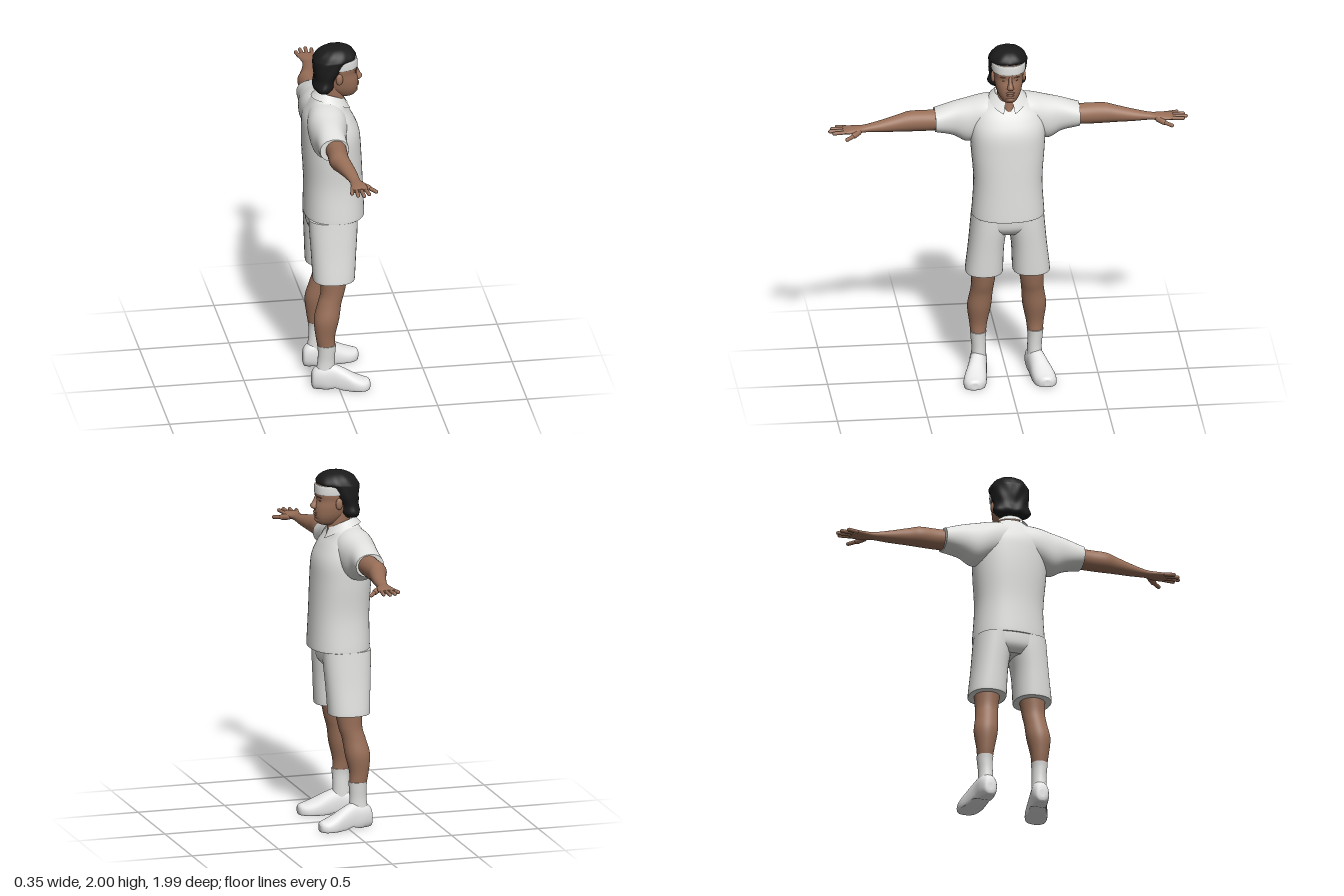
import * as THREE from 'three';

const mat = (name, color, side = THREE.FrontSide) => {
  const m = new THREE.MeshStandardMaterial({ color, side });
  m.name = name;
  return m;
};

// Catmull-Rom blend between cross-sections
const blend = (a, b, c, d, t) =>
  0.5 * (2 * b + (c - a) * t + (2 * a - 5 * b + 4 * c - d) * t * t + (3 * b - a - 3 * c + d) * t * t * t);

// Smooth closed skin through sections [t, centreA, centreB, radiusA, radiusB].
// axis 'y' -> A=x, B=z;  axis 'z' -> A=x, B=y;  axis 'x' -> A=z, B=y
function loft(axis, sections, { n = 32, steps = 5, p = 2, rule } = {}) {
  const rows = [], last = sections.length - 1;
  const at = (i) => sections[Math.min(last, Math.max(0, i))];
  for (let i = 0; i < last; i++)
    for (let s = 0; s < steps; s++)
      rows.push(at(i).map((_, k) => blend(at(i - 1)[k], at(i)[k], at(i + 1)[k], at(i + 2)[k], s / steps)));
  rows.push(at(last));
  const pos = [], idx = [];
  const place = (t, a, b) => {
    const v = axis === 'y' ? new THREE.Vector3(a, t, b)
      : axis === 'z' ? new THREE.Vector3(a, b, t) : new THREE.Vector3(t, b, a);
    if (rule) rule(v);
    pos.push(v.x, v.y, v.z);
  };
  const pw = (v) => Math.sign(v) * Math.abs(v) ** (2 / p);
  const ring = ([t, ca, cb, ra, rb]) => {
    for (let j = 0; j < n; j++) {
      const q = (j / n) * Math.PI * 2;
      place(t, ca + ra * pw(Math.cos(q)), cb + rb * pw(Math.sin(q)));
    }
  };
  rows.forEach(ring);
  for (let i = 0; i < rows.length - 1; i++)
    for (let j = 0; j < n; j++) {
      const a = i * n + j, b = i * n + (j + 1) % n;
      idx.push(a, a + n, b, b, a + n, b + n);
    }
  // end caps with their own vertices keep the rims crisp
  [rows[0], rows[rows.length - 1]].forEach((r, end) => {
    const base = pos.length / 3;
    ring(r);
    place(r[0], r[1], r[2]);
    for (let j = 0; j < n; j++) {
      const a = base + j, b = base + (j + 1) % n;
      idx.push(base + n, ...(end ? [b, a] : [a, b]));
    }
  });
  // turn the faces outward
  const P = (i) => new THREE.Vector3().fromArray(pos, idx[i] * 3);
  let vol = 0;
  for (let i = 0; i < idx.length; i += 3) vol += P(i).dot(P(i + 1).cross(P(i + 2)));
  if (vol < 0) idx.reverse();
  const g = new THREE.BufferGeometry();
  g.setAttribute('position', new THREE.Float32BufferAttribute(pos, 3));
  g.setIndex(idx);
  g.computeVertexNormals();
  return g;
}

// Shirt collar: sloping band, open at the front and dipping to two points
function collarGeometry() {
  const pos = [], idx = [], n = 40, m = 4, gap = 0.3;
  for (let i = 0; i <= n; i++) {
    const q = gap + (i / n) * (Math.PI * 2 - gap * 2), f = (1 + Math.cos(q)) / 2;
    for (let k = 0; k <= m; k++) {
      const v = k / m, r = 0.07 + 0.034 * v;
      pos.push(-0.015 + (r + 0.006) * Math.cos(q), 1.735 - 0.055 * f * f - v * (0.035 + 0.025 * f ** 4), r * Math.sin(q));
      if (i < n && k < m) {
        const a = i * (m + 1) + k, b = a + m + 1;
        idx.push(a, b, a + 1, b, b + 1, a + 1);
      }
    }
  }
  const g = new THREE.BufferGeometry();
  g.setAttribute('position', new THREE.Float32BufferAttribute(pos, 3));
  g.setIndex(idx);
  g.computeVertexNormals();
  return g;
}

export function createModel() {
  const root = new THREE.Group();
  root.name = 'tennisPlayer';
  const skin = mat('skin', 0x9a7059), cloth = mat('white cloth', 0xe0e0de),
    shoeWhite = mat('shoe white', 0xe6e6e6), hairBlack = mat('black hair', 0x1b1b1b),
    brown = mat('brow brown', 0x5e4436), collarCloth = mat('collar cloth', 0xe0e0de, THREE.DoubleSide);

  const add = (name, geo, material, parent = root) => {
    const mesh = new THREE.Mesh(geo, material);
    mesh.name = name;
    parent.add(mesh);
    return mesh;
  };
  const ball = (name, material, x, y, z, rx, ry, rz, parent) => {
    const b = add(name, new THREE.SphereGeometry(1, 20, 14), material, parent);
    b.position.set(x, y, z);
    b.scale.set(rx, ry, rz);
    return b;
  };
  const finger = (name, from, to, r, parent) => {
    const a = new THREE.Vector3(...from), d = new THREE.Vector3(...to).sub(a);
    const f = add(name, new THREE.CapsuleGeometry(r, d.length() - r, 5, 10), skin, parent);
    f.position.copy(a).addScaledVector(d, 0.5);
    f.quaternion.setFromUnitVectors(new THREE.Vector3(0, 1, 0), d.normalize());
  };

  // Shirt
  add('shirtBody', loft('y', [
    [1.0, 0, 0, 0.165, 0.2], [1.02, 0, 0, 0.167, 0.2], [1.2, -0.003, 0, 0.162, 0.19], [1.38, -0.012, 0, 0.162, 0.203],
    [1.5, -0.018, 0, 0.157, 0.208], [1.58, -0.032, 0, 0.136, 0.195], [1.64, -0.04, 0, 0.102, 0.16],
    [1.685, -0.035, 0, 0.078, 0.1], [1.71, -0.03, 0, 0.06, 0.07]], { n: 48, p: 2.3 }), cloth);
  add('shirtShoulders', loft('z', [-1, 1].flatMap((s) => {
    const half = [[0.4, -0.06, 1.545, 0.08, 0.065], [0.39, -0.06, 1.545, 0.081, 0.067], [0.3, -0.062, 1.549, 0.084, 0.093],
      [0.22, -0.06, 1.54, 0.1, 0.122], [0.12, -0.055, 1.57, 0.11, 0.115]].map(([z, ...r]) => [s * z, ...r]);
    return s < 0 ? [...half, [0, -0.05, 1.58, 0.1, 0.11]] : half.reverse();
  }), { n: 36, p: 2.2 }), cloth);
  add('collar', collarGeometry(), collarCloth);

  // Shorts
  add('shortsHips', loft('y', [[0.89, -0.018, 0, 0.1, 0.13], [0.93, -0.018, 0, 0.13, 0.19],
    [0.98, -0.018, 0, 0.138, 0.2], [1.03, -0.018, 0, 0.138, 0.192]], { p: 2.3 }), cloth);

  // Head and neck
  add('neck', loft('y', [[1.63, 0.005, 0, 0.065, 0.035], [1.67, 0.0, 0, 0.062, 0.055],
    [1.72, -0.005, 0, 0.062, 0.06], [1.79, -0.01, 0, 0.065, 0.062]]), skin);
  add('head', loft('y', [[1.694, 0.06, 0, 0.03, 0.02], [1.705, 0.062, 0, 0.055, 0.038], [1.73, 0.055, 0, 0.075, 0.055],
    [1.76, 0.045, 0, 0.091, 0.068], [1.8, 0.035, 0, 0.1, 0.077], [1.84, 0.028, 0, 0.099, 0.081],
    [1.88, 0.025, 0, 0.106, 0.086], [1.94, 0.02, 0, 0.1, 0.08]], { p: 2.2 }), skin);
  add('nose', loft('y', [[1.786, 0.13, 0, 0.01, 0.012], [1.797, 0.137, 0, 0.02, 0.019], [1.81, 0.136, 0, 0.025, 0.016],
    [1.83, 0.128, 0, 0.02, 0.011], [1.865, 0.12, 0, 0.012, 0.009]], { n: 16 }), skin);
  ball('upperLip', skin, 0.131, 1.77, 0, 0.013, 0.007, 0.026);
  ball('lowerLip', skin, 0.129, 1.757, 0, 0.013, 0.007, 0.022);
  ball('chin', skin, 0.115, 1.728, 0, 0.02, 0.018, 0.028);
  for (const s of [-1, 1]) {
    ball('ear', skin, 0.02, 1.825, s * 0.085, 0.02, 0.033, 0.012);
    ball('eye', brown, 0.115, 1.84, s * 0.033, 0.006, 0.005, 0.013).rotation.y = -s * 0.3;
    ball('brow', brown, 0.118, 1.859, s * 0.035, 0.007, 0.004, 0.02).rotation.y = -s * 0.35;
  }

  // Hair with gentle waves, and the headband under its fringe
  add('hair', loft('y', [[1.738, -0.06, 0, 0.035, 0.07], [1.748, -0.062, 0, 0.046, 0.094], [1.77, -0.058, 0, 0.057, 0.107],
    [1.81, -0.05, 0, 0.058, 0.098], [1.86, -0.034, 0, 0.078, 0.105], [1.915, -0.014, 0, 0.1, 0.107],
    [1.935, 0.008, 0, 0.117, 0.105], [1.965, 0.012, 0, 0.1, 0.088], [1.988, 0.016, 0, 0.066, 0.06],
    [1.998, 0.02, 0, 0.025, 0.025], [2.0, 0.02, 0, 0.004, 0.004]], {
    n: 56, p: 2.2,
    rule: (v) => {
      const k = 1 + 0.018 * Math.sin(9 * Math.atan2(Math.abs(v.z), v.x) + v.y * 50);
      v.x *= k;
      v.z *= k;
    },
  }), hairBlack);
  add('headband', loft('y', [[1.874, 0.022, 0, 0.108, 0.09], [1.88, 0.022, 0, 0.112, 0.094],
    [1.918, 0.02, 0, 0.112, 0.095], [1.926, 0.02, 0, 0.108, 0.091]], { n: 40, p: 2.3 }), cloth);

  for (const s of [-1, 1]) {
    const side = s < 0 ? 'left' : 'right';

    // Arm and hand
    const arm = new THREE.Group();
    arm.name = side + 'Arm';
    root.add(arm);
    add(side + 'Forearm', loft('z', [[0.36, -0.05, 1.548, 0.06, 0.056], [0.45, -0.052, 1.546, 0.056, 0.058],
      [0.54, -0.056, 1.544, 0.055, 0.057], [0.6, -0.043, 1.542, 0.048, 0.048], [0.7, -0.022, 1.537, 0.038, 0.033],
      [0.79, -0.01, 1.533, 0.03, 0.02], [0.84, -0.002, 1.532, 0.041, 0.019], [0.89, -0.004, 1.531, 0.049, 0.016],
      [0.915, -0.006, 1.53, 0.046, 0.011]].map(([z, ...r]) => [s * z, ...r])), skin, arm);
    [[-0.043, -0.054, 0.953], [-0.02, -0.025, 0.985], [0.004, 0.008, 0.997], [0.028, 0.04, 0.978]].forEach(([x0, x1, z]) =>
      finger(side + 'Finger', [x0, 1.53, s * 0.89], [x1, 1.531, s * (z - 0.005)], 0.0105, arm));
    finger(side + 'Thumb', [0.02, 1.527, s * 0.825], [0.06, 1.518, s * 0.865], 0.016, arm);
    finger(side + 'ThumbTip', [0.055, 1.519, s * 0.858], [0.093, 1.512, s * 0.905], 0.011, arm);

    // Leg, sock and shoe
    const leg = new THREE.Group();
    leg.name = side + 'Leg';
    root.add(leg);
    const mirror = (rows) => rows.map(([y, x, z, ...r]) => [y, x, s * z, ...r]);
    add(side + 'ShortsLeg', loft('y', mirror([[0.645, -0.02, 0.13, 0.114, 0.102], [0.66, -0.02, 0.13, 0.117, 0.104],
      [0.8, -0.019, 0.119, 0.125, 0.099], [0.92, -0.018, 0.105, 0.133, 0.102], [1.0, -0.018, 0.1, 0.136, 0.1]]),
      { p: 2.3 }), cloth, leg);
    add(side + 'Shin', loft('y', mirror([[0.24, -0.064, 0.158, 0.048, 0.042], [0.31, -0.071, 0.157, 0.054, 0.05],
      [0.41, -0.064, 0.153, 0.07, 0.066], [0.5, -0.046, 0.143, 0.066, 0.063], [0.57, -0.027, 0.136, 0.067, 0.064],
      [0.68, -0.018, 0.13, 0.08, 0.074]])), skin, leg);
    add(side + 'Sock', loft('y', mirror([[0.09, -0.07, 0.155, 0.055, 0.042], [0.16, -0.066, 0.155, 0.048, 0.04],
      [0.22, -0.064, 0.158, 0.049, 0.042], [0.258, -0.064, 0.158, 0.053, 0.046]])), cloth, leg);
    add(side + 'Shoe', loft('x', [[-0.147, 0.15, 0.045, 0.018, 0.025], [-0.138, 0.15, 0.052, 0.036, 0.055],
      [-0.1, 0.153, 0.06, 0.049, 0.075], [-0.04, 0.162, 0.055, 0.05, 0.088], [0.02, 0.175, 0.04, 0.056, 0.08],
      [0.08, 0.189, 0.025, 0.064, 0.062], [0.13, 0.197, 0.018, 0.06, 0.047], [0.16, 0.2, 0.02, 0.042, 0.036],
      [0.171, 0.201, 0.025, 0.02, 0.018]].map(([x, z, ...r]) => [x, s * z, ...r]), {
      p: 2.3,
      // flat sole with a small arch ahead of the heel
      rule: (v) => { v.y = Math.max(v.y, 0.014 * Math.exp(-(((v.x + 0.02) / 0.025) ** 2))); },
    }), shoeWhite, leg);
  }
  return root;
}
